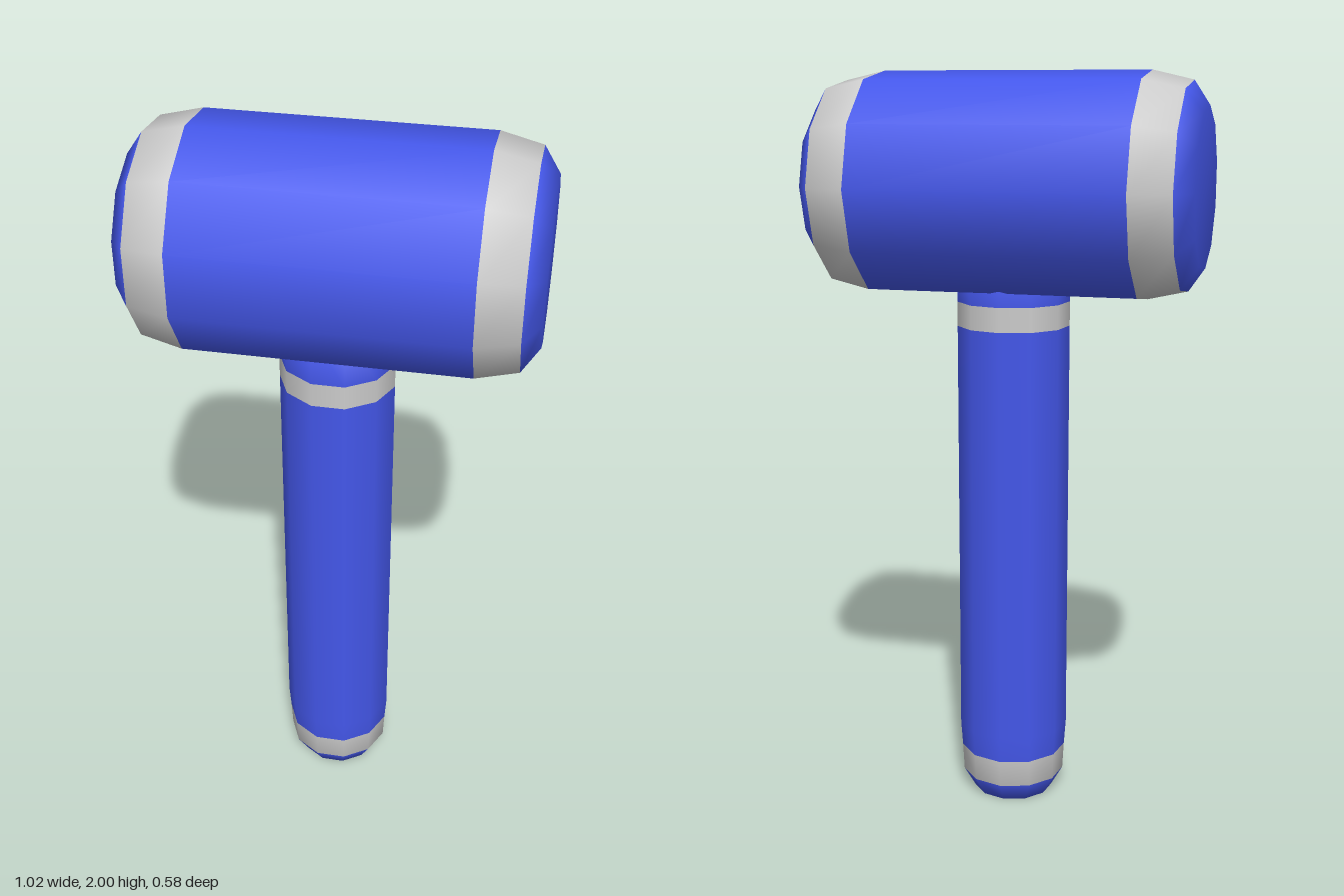
import * as THREE from 'three';

const SIDES = 11;
const blue = new THREE.MeshStandardMaterial({ color: 0x4457ea });
const grey = new THREE.MeshStandardMaterial({ color: 0xcccccc });

// Turns one smooth profile, then splits it into coloured sections that share its normals.
// sections: [name, material, first profile point, last profile point]
function turned(name, profile, sections) {
  const group = new THREE.Group();
  group.name = name;
  const points = profile.map(([r, y]) => new THREE.Vector2(r, y));
  const full = new THREE.LatheGeometry(points, SIDES, Math.PI);
  const index = Array.from(full.index.array);
  const rows = points.length - 1;
  for (const [part, material, from, to] of sections) {
    const geometry = full.clone();
    geometry.setIndex(index.filter((_, k) => {
      const row = Math.floor(k / 6) % rows;
      return row >= from && row < to;
    }));
    const mesh = new THREE.Mesh(geometry.toNonIndexed(), material);
    mesh.name = part;
    group.add(mesh);
  }
  return group;
}

export function createModel() {
  const model = new THREE.Group();
  model.name = 'mallet';

  // Handle with a rounded foot and two bands; its top sits inside the head
  const handle = turned('handle', [
    [0, 0], [0.11, 0], [0.142, 0.055], [0.146, 0.13], [0.151, 0.2],
    [0.151, 1.34], [0.151, 1.405], [0.151, 1.55], [0, 1.55],
  ], [
    ['handleFoot', blue, 0, 2],
    ['handleLowerBand', grey, 2, 3],
    ['handleGrip', blue, 3, 5],
    ['handleUpperBand', grey, 5, 6],
    ['handleNeck', blue, 6, 8],
  ]);
  handle.position.z = 0.025;

  // Head: half profile mirrored end to end, laid along x
  const half = [[0, 0.508], [0.206, 0.508], [0.269, 0.465], [0.294, 0.358]];
  const head = turned('head', [
    ...half.map(([r, y]) => [r, -y]),
    ...half.slice().reverse(),
  ], [
    ['rightFace', blue, 0, 2],
    ['rightBand', grey, 2, 3],
    ['headBarrel', blue, 3, 4],
    ['leftBand', grey, 4, 5],
    ['leftFace', blue, 5, 7],
  ]);
  head.rotation.z = -Math.PI / 2;
  head.position.set(0, 1.709, 0.003);

  model.add(handle, head);
  return model;
}
